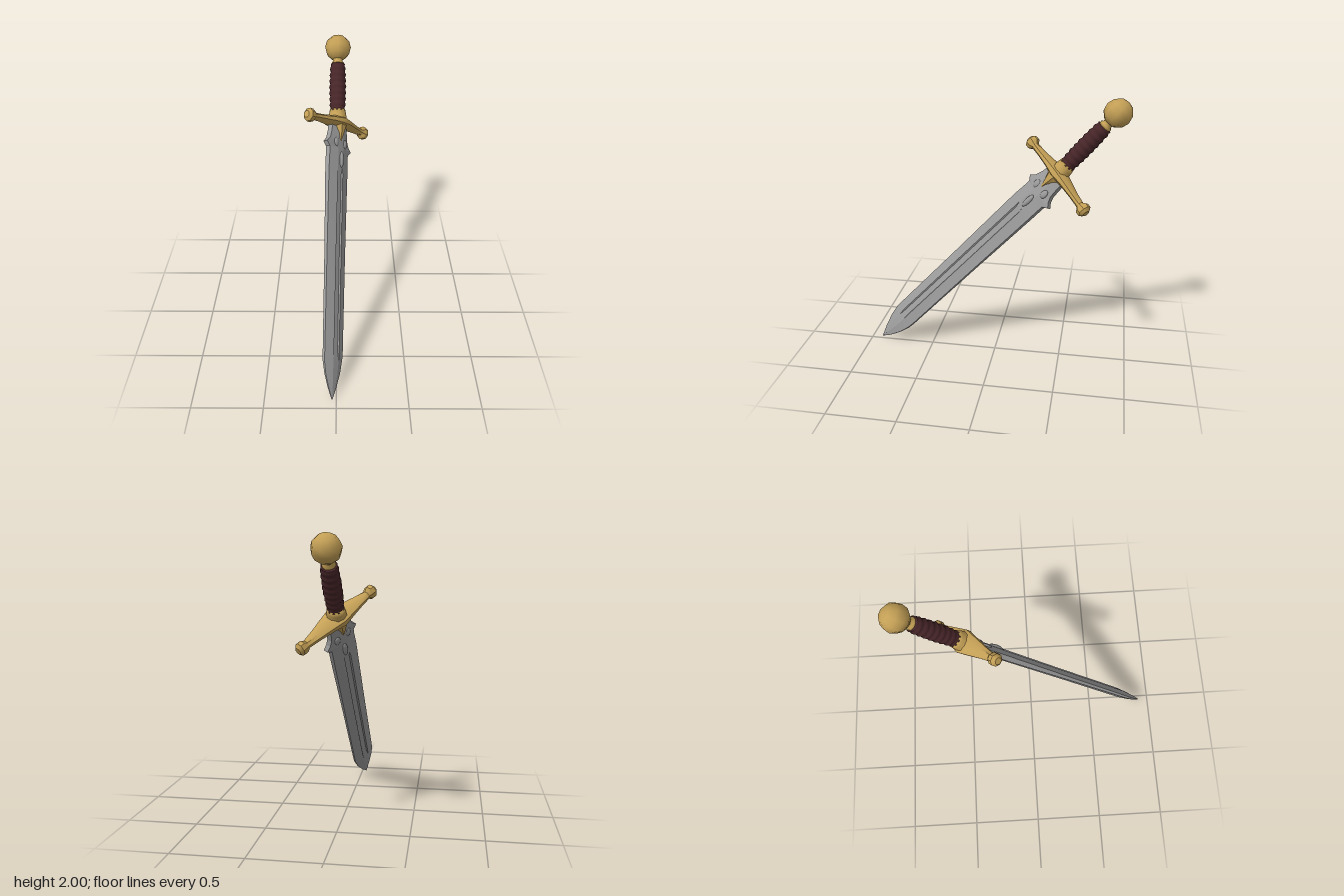
import * as THREE from 'three';
import { toCreasedNormals } from 'three/addons/utils/BufferGeometryUtils.js';

const steel = new THREE.MeshStandardMaterial({ color: 0x999999 });
steel.name = 'steel';
const gold = new THREE.MeshStandardMaterial({ color: 0xc4a056 });
gold.name = 'gold';
const leather = new THREE.MeshStandardMaterial({ color: 0x472528 });
leather.name = 'dark leather';

const V = (x, y, z) => new THREE.Vector3(x, y, z);

// Skin a stack of rings; each ring is { y, pts: [[x, z], ...] }, counter-clockwise seen from +y
function loft(rings, crease) {
  const n = rings[0].pts.length, pos = [], idx = [];
  for (const r of rings) for (const [x, z] of r.pts) pos.push(x, r.y, z);
  for (let i = 0; i < rings.length - 1; i++) {
    for (let j = 0; j < n; j++) {
      const a = i * n + j, b = i * n + (j + 1) % n;
      idx.push(a, b, a + n, b, b + n, a + n);
    }
  }
  const top = (rings.length - 1) * n;
  for (let j = 1; j < n - 1; j++) {
    idx.push(0, j + 1, j, top, top + j, top + j + 1);
  }
  const g = new THREE.BufferGeometry();
  g.setAttribute('position', new THREE.Float32BufferAttribute(pos, 3));
  g.setIndex(idx);
  return toCreasedNormals(g, crease);
}

// Octagonal ring with half sizes rx, rz and an x offset
function octagon(y, rx, rz, off = 0) {
  const pts = [];
  for (let j = 0; j < 8; j++) {
    const t = (j + 0.5) * Math.PI / 4;
    pts.push([off + rx * Math.cos(t) * 1.08, -rz * Math.sin(t) * 1.08]);
  }
  return { y, pts };
}

// Group with local y along the axis and local x along the crossguard
function frame(name, origin, axis, side) {
  const y = axis.clone().normalize();
  const x = side.clone().addScaledVector(y, -side.dot(y)).normalize();
  const z = x.clone().cross(y);
  const g = new THREE.Group();
  g.name = name;
  g.quaternion.setFromRotationMatrix(new THREE.Matrix4().makeBasis(x, y, z));
  g.position.copy(origin);
  return g;
}

function add(parent, name, geometry, material) {
  const m = new THREE.Mesh(geometry, material);
  m.name = name;
  parent.add(m);
  return m;
}

const lathe = (pts, sides) =>
  new THREE.LatheGeometry(pts.map(([r, y]) => new THREE.Vector2(r, y)), sides);

export function createModel() {
  const model = new THREE.Group();
  model.name = 'sword';
  const centre = V(0.002, 1.467, -0.45);
  const tip = V(-0.03, 0.005, 0.92);
  const pommelCentre = V(0.003, 1.908, -0.828);
  const guardDir = V(0.598, -0.567, -0.567);

  // Blade: height, half width left and right, edge and ridge half thickness, fuller depth
  const blade = frame('bladeGroup', centre, centre.clone().sub(tip), guardDir);
  const len = centre.distanceTo(tip);
  const rows = [
    [-len, 0.003, 0.003, 0.002, 0.004, 0],
    [-1.93, 0.042, 0.042, 0.004, 0.014, 0],
    [-1.83, 0.084, 0.08, 0.006, 0.024, 0],
    [-1.74, 0.104, 0.1, 0.008, 0.03, 0],
    [-1.68, 0.105, 0.104, 0.009, 0.032, 0.008],
    [-1.0, 0.108, 0.107, 0.012, 0.033, 0.01],
    [-0.4, 0.113, 0.112, 0.017, 0.036, 0.01],
    [-0.35, 0.113, 0.112, 0.018, 0.036, 0],
    [-0.235, 0.108, 0.112, 0.018, 0.036, 0],
    [-0.205, 0.11, 0.15, 0.018, 0.036, 0],
    [-0.175, 0.14, 0.118, 0.018, 0.036, 0],
    [-0.14, 0.108, 0.1, 0.02, 0.036, 0],
    [-0.08, 0.09, 0.092, 0.02, 0.036, 0],
    [0, 0.085, 0.085, 0.02, 0.036, 0],
  ];
  const rings = rows.map(([y, wn, wp, e, t, depth]) => {
    const f = Math.min(0.03, wn * 0.3);
    const half = [[wp, e], [f, t], [f * 0.75, t - depth],
      [-f * 0.75, t - depth], [-f, t], [-wn, e]];
    return { y, pts: [...half.map(([x, z]) => [x, -z]), ...half.reverse()] };
  });
  add(blade, 'blade', loft(rings, 0.2), steel);

  // Raised beads and small studs below the guard, on both faces
  for (const s of [-1, 1]) {
    const bead = add(blade, 'bladeBead', new THREE.SphereGeometry(1, 8, 6), steel);
    bead.scale.set(0.022, 0.06, 0.016);
    bead.position.set(0.01, -0.29, s * 0.037);
    for (const x of [-0.045, 0.055]) {
      const stud = add(blade, 'bladeStud', new THREE.SphereGeometry(1, 8, 6), steel);
      stud.scale.set(0.026, 0.035, 0.014);
      stud.position.set(x, -0.165, s * 0.029);
    }
  }

  // Pointed gold tongue clasping the top of the blade
  add(blade, 'guardTongue', loft([
    octagon(-0.145, 0.008, 0.04), octagon(-0.09, 0.034, 0.052),
    octagon(-0.01, 0.07, 0.068)], 0.5), gold);

  // Crossguard: position along the arm, half height, half depth, droop
  const hilt = frame('hilt', centre, pommelCentre.clone().sub(centre), guardDir);
  const arm = [
    [0.09, 0.034, 0.066, 0.002], [0.2, 0.025, 0.044, 0.01],
    [0.285, 0.024, 0.03, 0.015], [0.312, 0.047, 0.041, 0.016],
    [0.342, 0.046, 0.041, 0.016], [0.362, 0.024, 0.023, 0.016]];
  const guardRings = [
    ...arm.map(([a, h, d, o]) => octagon(-a, h, d, o)).reverse(),
    octagon(0, 0.046, 0.083),
    ...arm.map(([a, h, d, o]) => octagon(a, h, d, o))];
  add(hilt, 'crossguard', loft(guardRings, 0.6).rotateZ(-Math.PI / 2), gold);

  // Collar, wrapped grip, neck and pommel
  add(hilt, 'gripCollar', lathe([[0.07, 0.02], [0.064, 0.06], [0.058, 0.095], [0, 0.095]], 10), gold);
  const grip = [[0, 0.075]];
  const wraps = 8;
  for (let i = 0; i <= wraps * 4; i++) {
    const t = i / (wraps * 4);
    const r = 0.054 + 0.007 * Math.sin(t * Math.PI) + 0.004 * Math.sin(t * wraps * Math.PI * 2);
    grip.push([r, 0.075 + t * 0.375]);
  }
  grip.push([0, 0.455]);
  add(hilt, 'grip', lathe(grip, 12), leather);
  add(hilt, 'pommelNeck', lathe([[0, 0.44], [0.044, 0.445], [0.046, 0.465], [0.034, 0.475],
    [0.036, 0.495], [0.05, 0.515]], 10), gold);
  const pommel = add(hilt, 'pommel', new THREE.SphereGeometry(0.099, 9, 6), gold);
  pommel.position.y = centre.distanceTo(pommelCentre);

  model.add(blade, hilt);
  return model;
}
